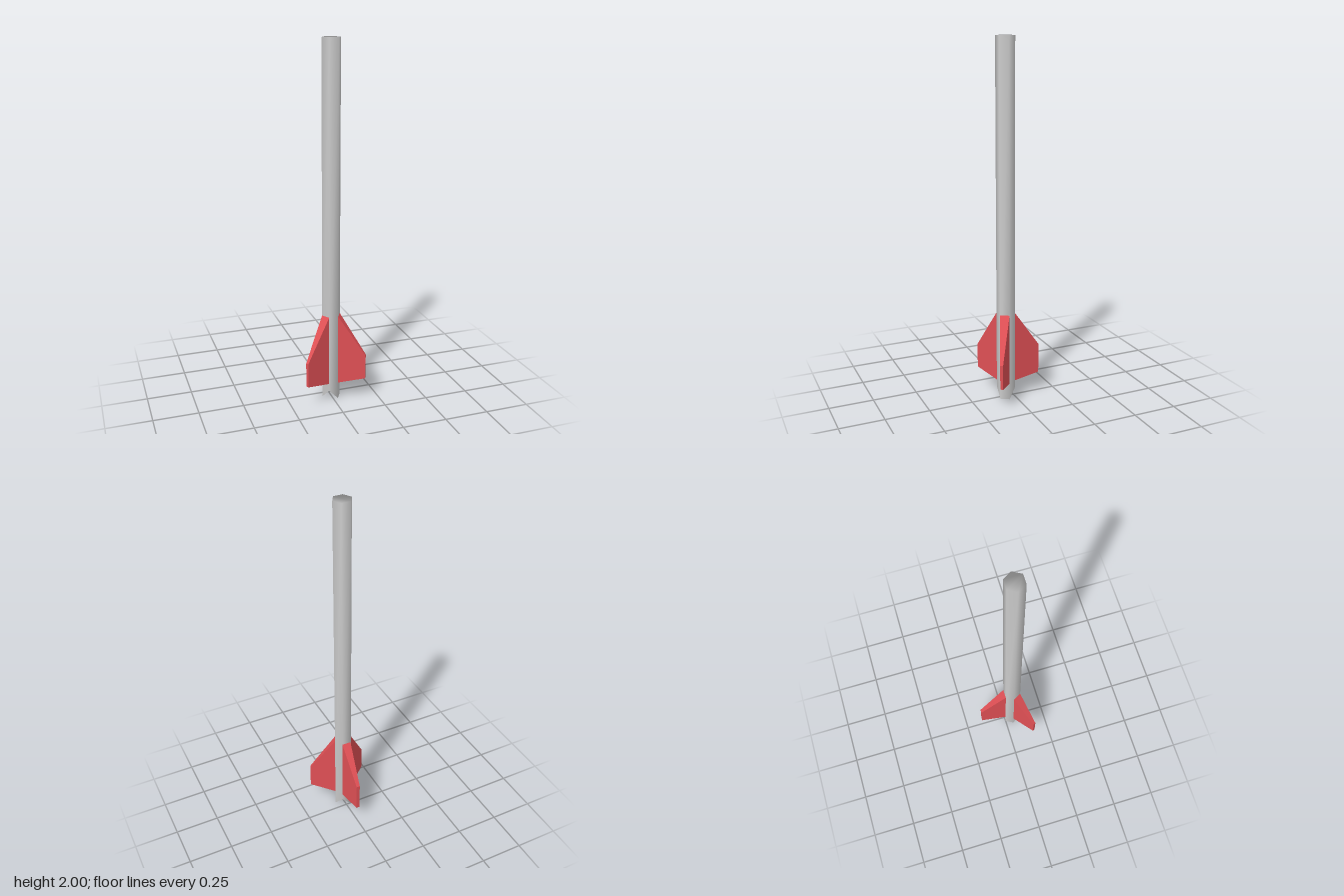
import * as THREE from 'three';

const grey = new THREE.MeshStandardMaterial({ color: 0xcccccc });
const red = new THREE.MeshStandardMaterial({ color: 0xe05055 });

const RADIUS = 0.052;   // hexagon corner radius
const APOTHEM = 0.045;  // centre to the middle of a side

// Six-sided shaft with a V notch cut across its foot, smooth shaded
function shaftGeometry() {
  const pos = [], index = [];
  const ring = (height) => {
    for (let i = 0; i < 6; i++) {
      const a = Math.PI / 6 + i * Math.PI / 3;
      pos.push(RADIUS * Math.sin(a), height(i), RADIUS * Math.cos(a));
    }
  };
  ring((i) => (i % 3 === 2 ? 0.055 : 0)); // two opposite corners are raised
  ring(() => 2);
  for (let i = 0; i < 6; i++) {
    const j = (i + 1) % 6;
    index.push(i, j, j + 6, i, j + 6, i + 6);
  }
  // Flat top
  for (let i = 1; i < 5; i++) index.push(6, 6 + i, 7 + i);
  // Two slopes of the notch
  for (const [a, b, c, d] of [[5, 0, 1, 2], [2, 3, 4, 5]]) index.push(a, c, b, a, d, c);
  const geo = new THREE.BufferGeometry();
  geo.setAttribute('position', new THREE.Float32BufferAttribute(pos, 3));
  geo.setIndex(index);
  geo.computeVertexNormals();
  return geo;
}

// Tapered fin pointing to +z, made from a box with its corners moved
function finGeometry({ tipBottom, tipTop, tipHalf, reach }) {
  const geo = new THREE.BoxGeometry(1, 1, 1);
  const p = geo.attributes.position;
  for (let i = 0; i < p.count; i++) {
    const tip = p.getZ(i) > 0, top = p.getY(i) > 0;
    const y = tip ? (top ? tipTop : tipBottom) : (top ? 0.5 : 0.097);
    p.setXYZ(i, Math.sign(p.getX(i)) * (tip ? tipHalf : 0.026), y, tip ? reach : APOTHEM);
  }
  geo.computeVertexNormals();
  return geo;
}

export function createModel() {
  const model = new THREE.Group();
  model.name = 'finnedShaft';

  const add = (name, geometry, material, turn = 0) => {
    const mesh = new THREE.Mesh(geometry, material);
    mesh.name = name;
    mesh.position.z = APOTHEM;
    mesh.rotation.y = turn;
    model.add(mesh);
  };

  add('shaft', shaftGeometry(), grey);

  // Three fins, a third of a turn apart
  const side = finGeometry({ tipBottom: 0.13, tipTop: 0.27, tipHalf: 0.008, reach: 0.197 });
  const back = finGeometry({ tipBottom: 0.115, tipTop: 0.285, tipHalf: 0.01, reach: 0.198 });
  add('leftFin', side, red, Math.PI / 3);
  add('rightFin', side, red, -Math.PI / 3);
  add('backFin', back, red, Math.PI);

  return model;
}
